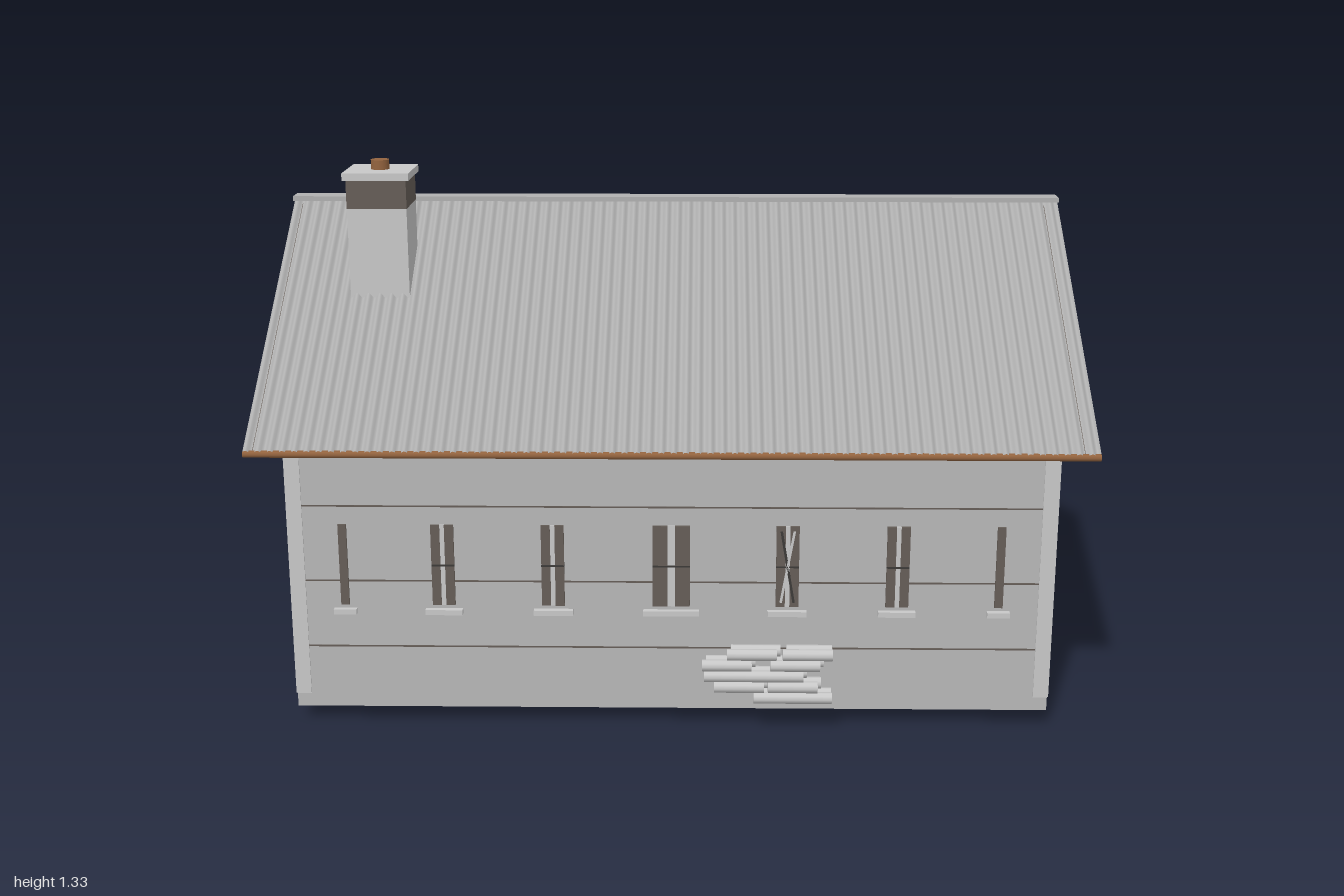
import * as THREE from 'three';

const mat = (name, color, extra = {}) => {
  const m = new THREE.MeshStandardMaterial({ color, ...extra });
  m.name = name;
  return m;
};

export function createModel() {
  const wall = mat('wall grey', 0xb8b8b8);
  const pale = mat('pale grey', 0xc8c8c8);
  const roofMat = mat('roof grey', 0xb0b0b0, { side: THREE.DoubleSide });
  const dark = mat('dark brown grey', 0x665e58);
  const iron = mat('dark iron', 0x3c3a38);
  const rust = mat('rust brown', 0x94643f);

  const house = new THREE.Group();
  house.name = 'house';

  const add = (parent, name, geo, material, x = 0, y = 0, z = 0) => {
    const m = new THREE.Mesh(geo, material);
    m.name = name;
    m.position.set(x, y, z);
    parent.add(m);
    return m;
  };
  const box = (parent, name, w, h, d, material, x, y, z) =>
    add(parent, name, new THREE.BoxGeometry(w, h, d), material, x, y, z);
  const cyl = (parent, name, r1, r2, h, material, x, y, z, n = 12) =>
    add(parent, name, new THREE.CylinderGeometry(r1, r2, h, n), material, x, y, z);
  const group = (parent, name, x = 0, y = 0, z = 0, ry = 0) => {
    const g = new THREE.Group();
    g.name = name;
    g.position.set(x, y, z);
    g.rotation.y = ry;
    parent.add(g);
    return g;
  };

  // Gabled body
  const profile = new THREE.Shape([
    [-0.65, 0.04], [0.6, 0.04], [0.6, 0.715], [-0.025, 1.165], [-0.65, 0.715],
  ].map(([a, b]) => new THREE.Vector2(a, b)));
  const bodyGeo = new THREE.ExtrudeGeometry(profile, { depth: 1.84, bevelEnabled: false });
  bodyGeo.rotateY(Math.PI / 2);
  add(house, 'walls', bodyGeo, wall, -0.92);

  // Each wall face: local x runs to the right, z points outward
  const front = group(house, 'frontWall', 0, 0, 0.65, 0);
  const back = group(house, 'backWall', 0, 0, -0.6, Math.PI);
  const gableA = group(house, 'leftGable', 0.92, 0, 0, Math.PI / 2);
  const gableB = group(house, 'rightGable', -0.92, 0, 0, -Math.PI / 2);

  // Window with dark panes, pale centre, crossbar and sill
  const makeWindow = (face, x, w, sillW, torn = false) => {
    const g = group(face, 'window', x, 0, 0);
    const y = 0.412, h = 0.205;
    if (w < 0.03) {
      box(g, 'pane', w, h, 0.008, dark, 0, y, 0.002);
    } else {
      const gap = w * 0.2, pw = (w - gap) / 2;
      for (const s of [-1, 1]) box(g, 'pane', pw, h, 0.008, dark, s * (gap + pw) / 2, y, 0.002);
      box(g, 'centreBar', gap, h, 0.006, pale, 0, y, 0.002);
      box(g, 'crossbar', w, 0.004, 0.009, iron, 0, y, 0.003);
    }
    if (torn) {
      for (const s of [-1, 1]) {
        const strip = box(g, 'brace', 0.006, h * 0.9, 0.006, s > 0 ? iron : pale, 0, y, 0.005);
        strip.rotation.z = s * 0.17;
      }
    }
    box(g, 'sill', sillW, 0.013, 0.016, pale, 0, 0.293, 0.006);
  };
  const sideWindows = [
    [-0.79, 0.02, 0.055], [-0.55, 0.055, 0.09], [-0.285, 0.055, 0.095],
    [0.28, 0.055, 0.095], [0.545, 0.055, 0.09], [0.79, 0.02, 0.055],
  ];
  sideWindows.forEach(([x, w, s], i) => {
    makeWindow(front, x, w, s, i === 3);
    makeWindow(back, x, w, s);
  });
  makeWindow(front, 0, 0.09, 0.135);
  for (const [face, s] of [[gableA, -1], [gableB, 1]]) {
    makeWindow(face, s * 0.31, 0.05, 0.09, true);
    makeWindow(face, s * 0.028, 0.095, 0.135);
    makeWindow(face, s * -0.255, 0.05, 0.09);
  }

  // Cladding joints and corner boards
  for (const face of [front, back]) {
    for (const y of [0.2, 0.37, 0.56]) box(face, 'boardJoint', 1.77, 0.004, 0.002, dark, 0, y, 0);
    for (const s of [-1, 1]) box(face, 'cornerBoard', 0.035, 0.64, 0.006, pale, s * 0.9025, 0.395, 0);
  }
  for (const face of [gableA, gableB]) {
    const s = face === gableA ? -1 : 1;
    box(face, 'cornerBoard', 0.045, 0.64, 0.006, pale, s * 0.628, 0.395, 0);
    box(face, 'cornerBoard', 0.045, 0.64, 0.006, pale, s * -0.578, 0.395, 0);
  }

  // Corrugated roof slopes with under-boards, rafters and gutters
  const slope = Math.atan2(0.485, 0.695), len = 0.8475;
  for (const ry of [0, Math.PI]) {
    const g = group(house, 'roofSlope', 0, 0, 0.025, ry);
    const sheet = new THREE.PlaneGeometry(2, len, 560, 1);
    const p = sheet.attributes.position;
    for (let i = 0; i < p.count; i++) p.setZ(i, 0.005 * Math.sin((p.getX(i) + 1) * Math.PI * 70));
    sheet.computeVertexNormals();
    add(g, 'corrugatedSheet', sheet, roofMat, 0, 0.9575, 0.3475).rotation.x = slope - Math.PI / 2;
    box(g, 'underBoard', 1.9, 0.006, 0.73, wall, 0, 0.968, 0.295).rotation.x = slope;
    for (const x of [-0.97, 0.97]) box(g, 'bargeBoard', 0.03, 0.01, 0.83, dark, x, 0.946, 0.347).rotation.x = slope;
    const gutter = cyl(g, 'gutter', 0.009, 0.009, 2, rust, 0, 0.709, 0.69, 8);
    gutter.rotation.z = Math.PI / 2;
  }
  box(house, 'ridgeCap', 2, 0.012, 0.054, roofMat, 0, 1.204, 0.025);

  // Chimney
  const chimney = group(house, 'chimney', -0.735, 0, 0.235);
  box(chimney, 'stack', 0.148, 0.27, 0.15, pale, 0, 1.085, 0);
  box(chimney, 'sootBand', 0.149, 0.072, 0.151, dark, 0, 1.256, 0);
  box(chimney, 'cap', 0.165, 0.018, 0.165, pale, 0, 1.3, 0);
  cyl(chimney, 'chimneyPot', 0.023, 0.023, 0.024, rust, 0, 1.321, 0, 16);

  // Downpipe with a kicked-out foot
  const pipe = new THREE.CatmullRomCurve3([
    [-0.98, 0.71, -0.665], [-0.98, 0.4, -0.665], [-0.98, 0.09, -0.665], [-0.98, 0.065, -0.675], [-0.98, 0.045, -0.712],
  ].map((a) => new THREE.Vector3(...a)));
  add(house, 'downpipe', new THREE.TubeGeometry(pipe, 30, 0.008, 8), rust);
  for (const y of [0.28, 0.43, 0.6]) cyl(house, 'pipeCollar', 0.011, 0.011, 0.012, rust, -0.98, y, -0.665, 8);

  // Stacked firewood at the front
  const wood = group(house, 'firewood');
  const rows = [[0.2, 0.39, 0.2], [0.105, 0.235, 0.385], [0.08, 0.2, 0.35], [0.075, 0.24, 0.39], [0.135, 0.27, 0.39]];
  rows.forEach(([a, b, c], i) => {
    for (const z of [0.669, 0.697]) {
      const shift = z > 0.68 ? 0 : 0.01;
      for (const x0 of i === 0 ? [0.2, 0.27] : [a, b]) {
        const l = Math.min(0.12, 0.39 - x0 - shift);
        const log = cyl(wood, 'log', 0.0142, 0.0142, l, pale, x0 + shift + l / 2, 0.09 + i * 0.028, z, 10);
        log.rotation.z = Math.PI / 2;
      }
    }
  });

  // Back door with frame, panels and step
  const door = group(back, 'door');
  box(door, 'doorPanel', 0.23, 0.54, 0.006, pale, 0, 0.335, 0.002);
  box(door, 'doorGap', 0.008, 0.54, 0.008, dark, 0.05, 0.335, 0.003);
  for (const s of [-1, 1]) box(door, 'doorJamb', 0.012, 0.56, 0.016, wall, s * 0.12, 0.34, 0.004);
  box(door, 'doorLintel', 0.252, 0.012, 0.016, wall, 0, 0.612, 0.004);
  for (const y of [0.22, 0.4]) box(door, 'doorRail', 0.23, 0.004, 0.008, dark, 0, y, 0.003);
  box(door, 'doorStep', 0.3, 0.03, 0.06, pale, 0, 0.055, 0.03);

  // Bench
  const bench = group(house, 'bench', 0.26, 0, -0.66);
  box(bench, 'benchTop', 0.16, 0.014, 0.082, pale, 0, 0.082, 0);
  for (const s of [-1, 1]) box(bench, 'benchLeg', 0.012, 0.076, 0.07, pale, s * 0.055, 0.038, 0);

  // Potted plants
  const plantPot = (parent, x, y, z, k = 1) => {
    const g = group(parent, 'plantPot', x, y, z);
    g.scale.setScalar(k);
    cyl(g, 'pot', 0.022, 0.014, 0.035, rust, 0, 0.0175, 0);
    cyl(g, 'potRim', 0.025, 0.025, 0.008, rust, 0, 0.035, 0);
    for (const a of [0, 2.1, 4.2]) {
      add(g, 'leaf', new THREE.IcosahedronGeometry(0.011, 0), dark, 0.011 * Math.cos(a), 0.046, 0.011 * Math.sin(a));
    }
  };
  plantPot(house, 0.365, 0, -0.665);
  plantPot(house, -0.16, 0.055, -0.645, 0.9);

  // Window boxes on the back
  for (const x of [-0.55, -0.285, 0.28, 0.545, 0.79]) {
    const g = group(back, 'windowBox', x, 0, 0.016);
    box(g, 'planter', 0.075, 0.022, 0.022, pale, 0, 0.3, 0);
    for (const i of [-1, 0, 1]) {
      box(g, 'picket', 0.012, 0.04, 0.004, pale, i * 0.025, 0.288, 0.013);
      add(g, 'flower', new THREE.IcosahedronGeometry(0.011, 0), i ? rust : dark, i * 0.022, 0.319 + (i ? 0 : 0.012), 0);
    }
  }

  // Water barrel
  const barrel = group(house, 'barrel', 0.79, 0, -0.662);
  const stave = [[0, 0.075], [0.053, 0.075], [0.06, 0.12], [0.063, 0.172], [0.06, 0.225], [0.053, 0.27], [0, 0.27]];
  add(barrel, 'barrelBody', new THREE.LatheGeometry(stave.map((a) => new THREE.Vector2(...a)), 24), pale);
  for (const [y, r] of [[0.08, 0.055], [0.13, 0.062], [0.215, 0.062], [0.265, 0.055]]) {
    cyl(barrel, 'barrelHoop', r, r, 0.007, iron, 0, y, 0, 24);
  }

  // Wall lamp, notice board and hanging basket
  box(back, 'wallLamp', 0.022, 0.026, 0.022, rust, 0.17, 0.618, 0.015);
  const board = box(back, 'noticeBoard', 0.1, 0.17, 0.008, dark, 0.19, 0.405, 0.022);
  board.rotation.x = -0.08;
  const basket = group(back, 'hangingBasket', 0.285, 0, 0.026);
  cyl(basket, 'basketBowl', 0.032, 0.018, 0.026, rust, 0, 0.478, 0.004);
  box(basket, 'basketBracket', 0.005, 0.005, 0.05, iron, 0, 0.508, 0);

  return house;
}
